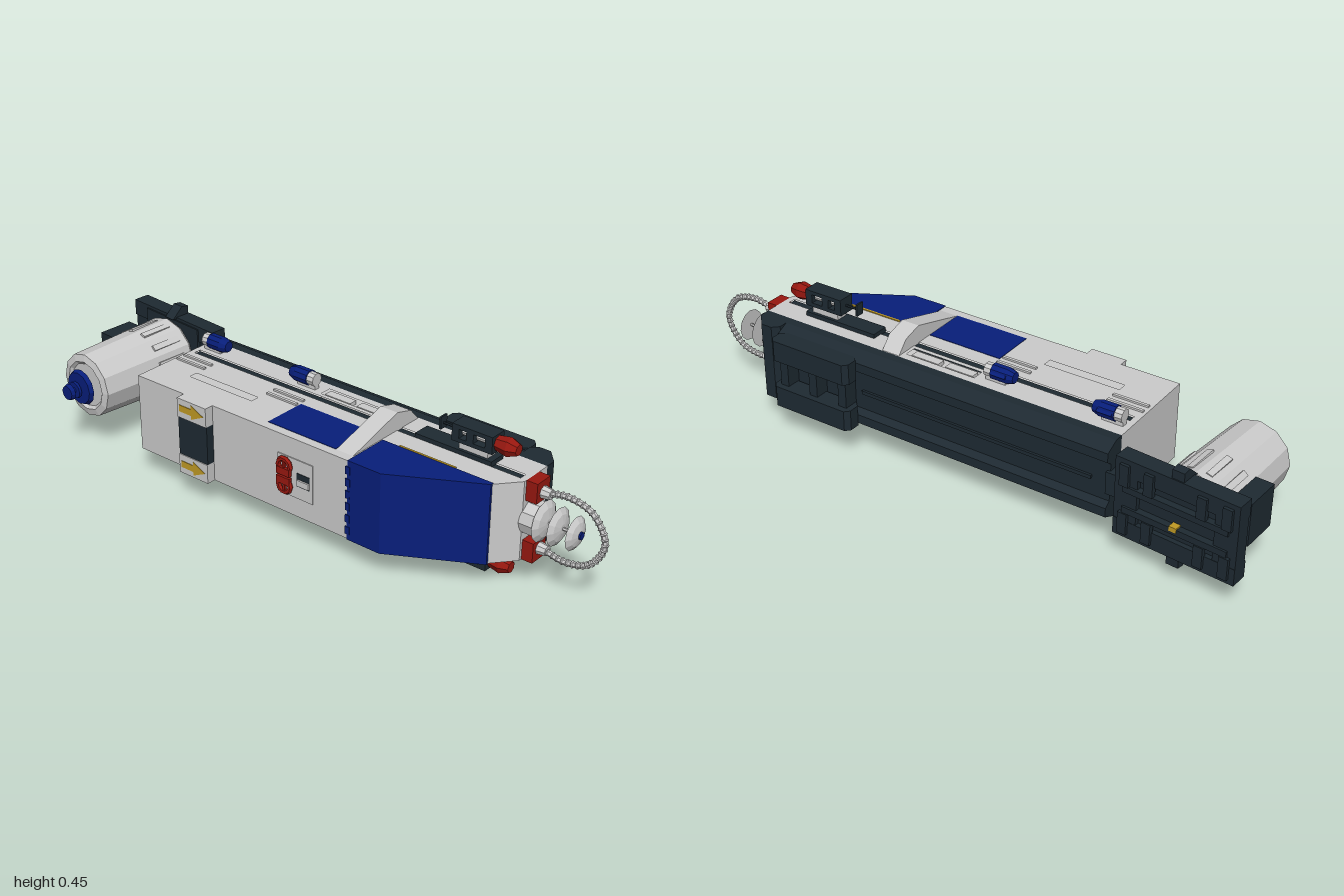
import * as THREE from 'three';

const MID = 0.223; // height of the mirror plane
const SIDES = [1, -1];
const mat = (color) => new THREE.MeshStandardMaterial({ color, flatShading: true });

export function createModel() {
  const root = new THREE.Group();
  const grey = mat(0xcccccc), dark = mat(0x1e2a32), blue = mat(0x081e7a);
  const red = mat(0x981810), yellow = mat(0xc09a24);

  const add = (parent, name, geo, m) => {
    const mesh = new THREE.Mesh(geo, m);
    mesh.name = name;
    parent.add(mesh);
    return mesh;
  };
  const group = (name) => {
    const g = new THREE.Group();
    g.name = name;
    root.add(g);
    return g;
  };
  // box from its limits
  const box = (p, name, m, x0, x1, y0, y1, z0, z1) => {
    const b = add(p, name, new THREE.BoxGeometry(x1 - x0, Math.abs(y1 - y0), z1 - z0), m);
    b.position.set((x0 + x1) / 2, (y0 + y1) / 2, (z0 + z1) / 2);
    return b;
  };
  // mirrored height: s = 1 upper, s = -1 lower
  const my = (s, y) => MID + s * (y - MID);
  // upright slab from an [x, z] outline
  const slab = (p, name, m, pts, y0, y1, holes = []) => {
    const v = (a) => a.map(([x, z]) => new THREE.Vector2(x, -z));
    const shape = new THREE.Shape(v(pts));
    for (const h of holes) shape.holes.push(new THREE.Path(v(h)));
    const geo = new THREE.ExtrudeGeometry(shape, { depth: Math.abs(y1 - y0), bevelEnabled: false });
    return add(p, name, geo.rotateX(-Math.PI / 2).translate(0, Math.min(y0, y1), 0), m);
  };
  // bar along x from a [z, y] section
  const bar = (p, name, m, pts, x0, x1) => {
    const shape = new THREE.Shape(pts.map(([z, y]) => new THREE.Vector2(-z, y)));
    const geo = new THREE.ExtrudeGeometry(shape, { depth: x1 - x0, bevelEnabled: false });
    return add(p, name, geo.rotateY(Math.PI / 2).translate(x0, 0, 0), m);
  };
  // cylinder along x; r0 at x0, r1 at x1
  const rod = (p, name, m, x0, x1, y, z, r0, r1 = r0, n = 10) => {
    const c = add(p, name, new THREE.CylinderGeometry(r1, r0, x1 - x0, n).rotateZ(-Math.PI / 2), m);
    c.position.set((x0 + x1) / 2, y, z);
    return c;
  };
  const rect = (x0, x1, z0, z1) => [[x0, z0], [x1, z0], [x1, z1], [x0, z1]];

  // main hull: core with thin recessed skins above and below
  const hull = group('hull');
  const outline = [[-0.56, -0.13], [0.74, -0.13], [0.74, -0.015], [0.68, 0.055],
    [0.29, 0.055], [0.29, 0.21], [-0.56, 0.21]];
  slab(hull, 'hullCore', grey, outline, 0.107, 0.339);
  for (const s of SIDES) {
    slab(hull, 'hullSkin', grey, outline, my(s, 0.339), my(s, 0.353), [
      rect(-0.43, -0.17, 0.08, 0.11), rect(-0.54, 0.72, -0.05, -0.025), rect(-0.04, 0.21, -0.105, -0.065)]);
    box(hull, 'sideStripe', dark, -0.54, 0.72, my(s, 0.338), my(s, 0.349), -0.05, -0.025);
    box(hull, 'bluePanel', blue, -0.04, 0.22, my(s, 0.35), my(s, 0.3545), 0.03, 0.18);
    for (const x of [-0.03, 0.095]) box(hull, 'recessBlock', grey, x, x + 0.1, my(s, 0.338), my(s, 0.352), -0.1, -0.07);
    for (const x of [-0.55, -0.165]) for (const z of [0.006, 0.038])
      box(hull, 'bracket', grey, x, x + 0.12, my(s, 0.35), my(s, 0.359), z, z + 0.01);
    // sloped rib across the hull
    bar(hull, 'crossRib', grey, [[0.19, my(s, 0.35)], [-0.025, my(s, 0.412)],
      [-0.09, my(s, 0.394)], [-0.13, my(s, 0.35)]], 0.222, 0.285);
  }

  // blue nose cover
  const nose = group('nose');
  slab(nose, 'noseCover', blue, [[0.29, 0.05], [0.68, 0.05], [0.68, 0.062], [0.41, 0.212], [0.29, 0.212]], 0.091, 0.355);
  for (let i = 0; i < 6; i++) {
    const y = 0.11 + i * 0.04;
    box(nose, 'noseTooth', blue, 0.284, 0.3, y, y + 0.025, 0.2, 0.214);
  }
  for (const s of SIDES) box(nose, 'noseTrim', yellow, 0.35, 0.55, my(s, 0.352), my(s, 0.356), 0.044, 0.051);

  // front strap with arrows
  const strap = group('strap');
  box(strap, 'strapCentre', dark, -0.36, -0.24, 0.158, 0.288, 0.2, 0.238);
  const arrow = [[-0.35, -0.011], [-0.3, -0.011], [-0.3, -0.024], [-0.25, 0], [-0.3, 0.024], [-0.3, 0.011], [-0.35, 0.011]];
  for (const s of SIDES) {
    box(strap, 'strapEnd', grey, -0.36, -0.24, my(s, 0.288), my(s, 0.353), 0.2, 0.241);
    const shape = new THREE.Shape(arrow.map(([x, y]) => new THREE.Vector2(x, y)));
    add(strap, 'arrow', new THREE.ExtrudeGeometry(shape, { depth: 0.004, bevelEnabled: false }), yellow)
      .position.set(0, my(s, 0.321), 0.239);
  }

  // front valve panel
  const valve = group('valvePanel');
  box(valve, 'panelFrame', grey, 0.025, 0.16, 0.158, 0.288, 0.2, 0.213);
  box(valve, 'panelInset', dark, 0.1, 0.15, 0.2, 0.245, 0.208, 0.2145);
  box(valve, 'panelHandle', grey, 0.105, 0.15, 0.205, 0.225, 0.21, 0.22);
  for (const s of SIDES) {
    add(valve, 'valveWheel', new THREE.TorusGeometry(0.023, 0.009, 6, 10), red)
      .position.set(0.055, my(s, 0.256), 0.217);
    box(valve, 'valveBlock', red, 0.03, 0.08, my(s, 0.226), my(s, 0.25), 0.2, 0.226);
    box(valve, 'valveSpoke', red, 0.051, 0.059, my(s, 0.235), my(s, 0.278), 0.21, 0.222);
  }

  // back rail with a shallow channel
  const rail = group('backRail');
  bar(rail, 'railBody', dark, [[-0.13, 0.093], [-0.16, 0.093], [-0.205, 0.115], [-0.205, 0.145], [-0.185, 0.16],
    [-0.185, 0.286], [-0.205, 0.301], [-0.205, 0.331], [-0.16, 0.353], [-0.13, 0.353]], -0.56, 0.64);
  slab(rail, 'railEnd', dark, [[0.64, -0.13], [0.74, -0.13], [0.74, -0.165], [0.7, -0.21], [0.66, -0.21], [0.64, -0.19]], 0.093, 0.353);
  box(rail, 'railRib', dark, -0.5, 0.32, 0.217, 0.229, -0.193, -0.18);
  // clamp on the rail
  const clamp = group('railClamp');
  for (const s of SIDES) {
    slab(clamp, 'clampPad', dark, [[0.345, -0.19], [0.61, -0.19], [0.63, -0.205], [0.63, -0.24],
      [0.615, -0.256], [0.345, -0.256], [0.33, -0.24], [0.33, -0.205]], my(s, 0.27), my(s, 0.34));
    box(clamp, 'clampFoot', dark, 0.38, 0.58, my(s, 0.28), my(s, 0.335), -0.205, -0.18);
  }
  for (const x of [0.35, 0.465, 0.58]) box(clamp, 'clampBridge', dark, x, x + 0.03, 0.16, 0.286, -0.235, -0.18);

  // side thrusters and small canisters
  for (const s of SIDES) {
    const t = group('sideThruster'), y = my(s, 0.417), z = -0.055;
    box(t, 'thrusterBase', dark, 0.35, 0.62, my(s, 0.35), my(s, 0.367), -0.085, -0.025);
    box(t, 'thrusterPylon', grey, 0.5, 0.6, my(s, 0.365), my(s, 0.395), -0.075, -0.035);
    for (const x of [0.48, 0.53, 0.595]) box(t, 'thrusterRib', dark, x, x + 0.025, my(s, 0.39), my(s, 0.445), -0.083, -0.025);
    for (const [a, b] of [[0.39, 0.403], [0.432, 0.445]])
      box(t, 'thrusterRail', dark, 0.48, 0.62, my(s, a), my(s, b), -0.083, -0.025);
    rod(t, 'thrusterCore', grey, 0.49, 0.61, y, z, 0.014);
    rod(t, 'thrusterNozzle', red, 0.615, 0.66, y, z, 0.022, 0.03, 7);
    rod(t, 'thrusterTip', red, 0.66, 0.69, y, z, 0.03, 0.018, 7);
    box(t, 'thrusterPin', dark, 0.425, 0.431, my(s, 0.4), my(s, 0.44), -0.07, -0.04);
    rod(t, 'thrusterPinRod', dark, 0.428, 0.485, y, z, 0.004, 0.004, 6);

    for (const [x, d] of [[-0.54, 1], [-0.07, -1]]) {
      const c = group('canister'), cy = my(s, 0.384);
      const span = (a, b) => (d > 0 ? [x + a, x + b] : [x - b, x - a]);
      rod(c, 'canisterCap', grey, ...span(0, 0.03), cy, -0.08, 0.022);
      rod(c, 'canisterBody', blue, ...span(0.025, 0.075), cy, -0.08, 0.026);
      rod(c, 'canisterTip', blue, ...span(0.075, 0.1), cy, -0.08, d > 0 ? 0.026 : 0.018, d > 0 ? 0.018 : 0.026);
      box(c, 'canisterMount', grey, ...span(0, 0.07), my(s, 0.35), my(s, 0.37), -0.09, -0.07);
      box(c, 'canisterFin', blue, ...span(0.03, 0.08), my(s, 0.392), my(s, 0.398), -0.112, -0.08).rotation.x = -s * 0.7;
    }
  }

  // discs, red blocks and hose at the tip
  const tip = group('tip'), tz = -0.058;
  for (const s of SIDES) {
    box(tip, 'tipBlock', red, 0.735, 0.777, my(s, 0.288), my(s, 0.353), -0.09, -0.025);
    rod(tip, 'hoseSocket', grey, 0.775, 0.805, my(s, 0.315), tz, 0.02, 0.016, 8);
  }
  rod(tip, 'tipHub', grey, 0.735, 0.79, MID, tz, 0.055);
  rod(tip, 'tipShaft', grey, 0.78, 0.91, MID, tz, 0.005, 0.005, 6);
  for (const [x, r] of [[0.785, 0.065], [0.832, 0.06], [0.888, 0.053]]) {
    rod(tip, 'tipDiscRim', grey, x, x + 0.012, MID, tz, r, r * 0.7, 12);
    rod(tip, 'tipDiscDome', grey, x + 0.012, x + 0.018, MID, tz, r * 0.7, 0.014, 12);
  }
  rod(tip, 'tipCap', blue, 0.905, 0.912, MID, tz, 0.012);
  const path = new THREE.CatmullRomCurve3([[0.79, 0.315], [0.86, 0.328], [0.94, 0.305], [0.985, 0.223],
    [0.94, 0.141], [0.86, 0.118], [0.79, 0.131]].map(([x, y]) => new THREE.Vector3(x, y, tz)));
  add(tip, 'hose', new THREE.TubeGeometry(path, 48, 0.009, 6), grey);
  for (let i = 1; i < 30; i++) {
    const ring = add(tip, 'hoseRing', new THREE.TorusGeometry(0.009, 0.003, 4, 8), grey);
    ring.position.copy(path.getPointAt(i / 30));
    ring.lookAt(ring.position.clone().add(path.getTangentAt(i / 30)));
  }

  // rear pod, slightly turned and tapering to a flat front
  const pod = group('rearPod');
  pod.position.set(-0.822, MID, 0);
  pod.rotation.y = -0.06;
  const profile = [[0, -0.185], [0.11, -0.185], [0.122, -0.17], [0.109, 0.188], [0.085, 0.194], [0.075, 0.185], [0, 0.185]];
  add(pod, 'podShell', new THREE.LatheGeometry(profile.map(([r, y]) => new THREE.Vector2(r, y)), 12).rotateX(Math.PI / 2), grey);
  for (const [z, r0, r1, h] of [[0.215, 0.062, 0.055, 0.014], [0.237, 0.03, 0.028, 0.008], [0.263, 0.028, 0.024, 0.014], [0.22, 0.01, 0.01, 0.08]])
    add(pod, 'podNozzle', new THREE.CylinderGeometry(r1, r0, h, 12).rotateX(Math.PI / 2), blue).position.z = z;
  for (let i = 0; i < 12; i++) {
    const a = (i + 0.5) * Math.PI / 6;
    const f = add(pod, 'podRib', new THREE.BoxGeometry(0.012, 0.02, 0.11), grey);
    f.position.set(Math.cos(a) * 0.114, Math.sin(a) * 0.114, -0.09);
    f.rotation.z = a;
  }
  box(pod, 'podSideBox', dark, -0.164, -0.105, -0.07, 0.07, -0.14, -0.015);

  // turned back plate behind the pod
  const plate = group('rearPlate');
  plate.position.set(-0.798, MID, -0.216);
  plate.rotation.y = -0.08;
  box(plate, 'plateBase', dark, -0.13, 0.13, -0.12, 0.12, -0.01, 0.035);
  for (const s of SIDES) {
    box(plate, 'plateBeam', dark, -0.198, 0.2, s * 0.075, s * 0.13, -0.026, 0.03);
    box(plate, 'plateEnd', dark, s > 0 ? 0.125 : -0.198, s > 0 ? 0.2 : -0.125, -0.1, 0.1, -0.025, 0.025);
    box(plate, 'plateInnerRail', dark, -0.17, 0.17, s * 0.025, s * 0.045, -0.032, 0);
    bar(plate, 'plateHorn', dark, [[0.045, s * 0.125], [0.005, s * 0.162], [-0.022, s * 0.158], [-0.022, s * 0.125]], -0.02, 0.02);
    for (const x of [-0.18, -0.1, 0.07, 0.15])
      box(plate, 'plateStud', dark, x, x + 0.03, s * 0.045, s * 0.115, -0.036, -0.02);
  }
  box(plate, 'plateKnob', yellow, -0.012, 0.012, -0.035, -0.02, -0.034, -0.005);
  box(root, 'plateHinge', dark, -0.63, -0.55, 0.188, 0.262, -0.195, -0.155);

  return root;
}
